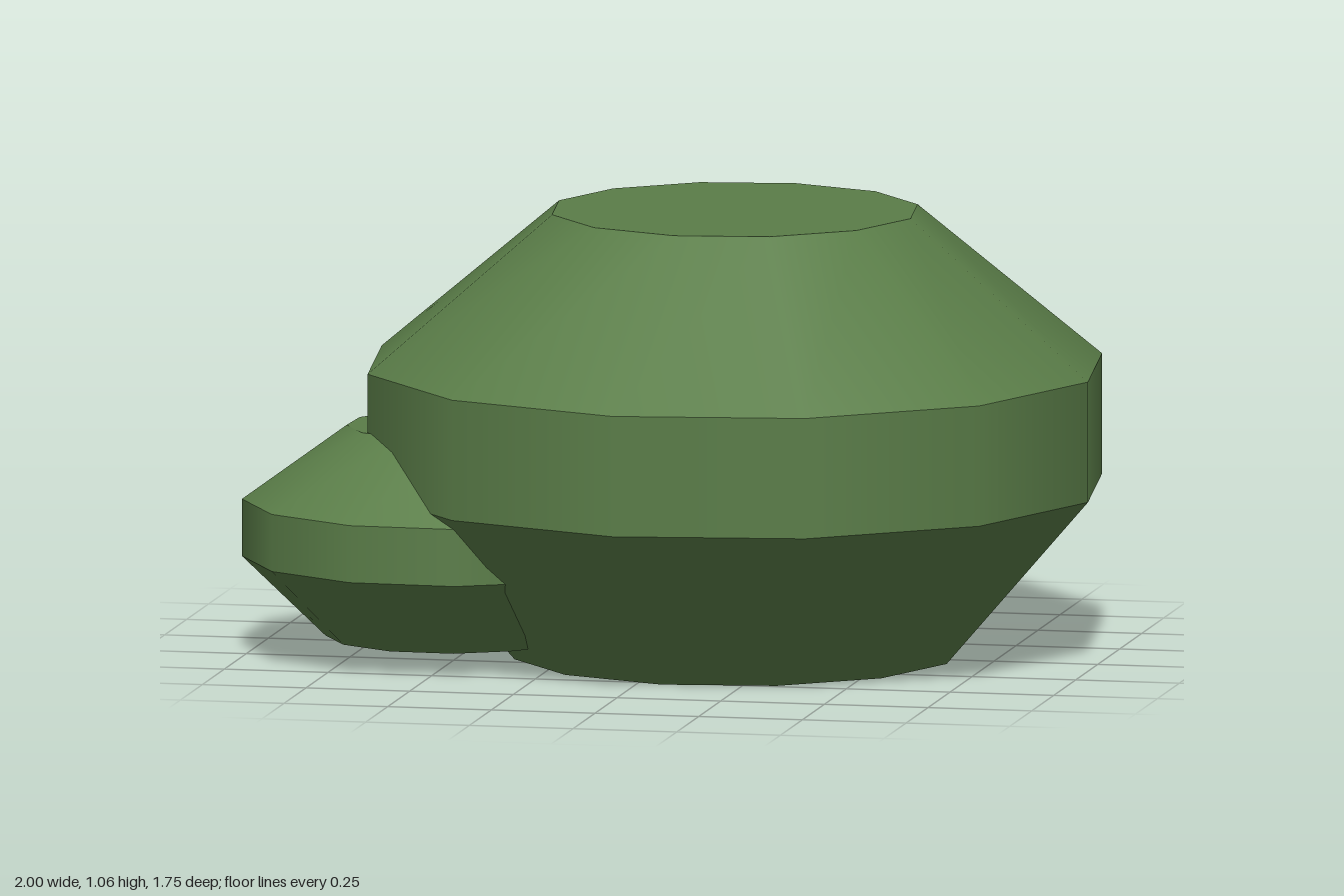
import * as THREE from 'three';
import { mergeGeometries } from 'three/addons/utils/BufferGeometryUtils.js';

const SIDES = 12;

// Squat twelve-sided bush: stacked bands, smooth around and creased between rings.
// rings: [radius, height] from bottom to top; turn: angle of the first corner from +x towards +z.
function bushGeometry(rings, turn) {
  const parts = [];
  for (let i = 0; i < rings.length - 1; i++) {
    const [r0, y0] = rings[i];
    const [r1, y1] = rings[i + 1];
    const band = new THREE.CylinderGeometry(r1, r0, y1 - y0, SIDES, 1, true, Math.PI / 2 - turn);
    parts.push(band.translate(0, (y0 + y1) / 2, 0));
  }
  const [rb, yb] = rings[0];
  const [rt, yt] = rings[rings.length - 1];
  parts.push(new THREE.CircleGeometry(rb, SIDES, turn).rotateX(Math.PI / 2).translate(0, yb, 0));
  parts.push(new THREE.CircleGeometry(rt, SIDES, -turn).rotateX(-Math.PI / 2).translate(0, yt, 0));
  return mergeGeometries(parts);
}

export function createModel() {
  const group = new THREE.Group();
  group.name = 'bush';
  const leafGreen = new THREE.MeshStandardMaterial({ color: 0x5a7d48 });
  leafGreen.name = 'leaf green';

  const add = (name, rings, degrees, x, z) => {
    const mesh = new THREE.Mesh(bushGeometry(rings, THREE.MathUtils.degToRad(degrees)), leafGreen);
    mesh.name = name;
    mesh.position.set(x, 0, z);
    group.add(mesh);
  };

  // Large clump
  add('largeClump', [[0.529, 0], [0.882, 0.403], [0.882, 0.69], [0.439, 1.058]], 7.2, 0.125, 0);
  // Small clump growing out of its right side
  add('smallClump', [[0.296, 0.048], [0.493, 0.238], [0.493, 0.374], [0.246, 0.55]], 17, -0.523, 0.173);

  return group;
}
